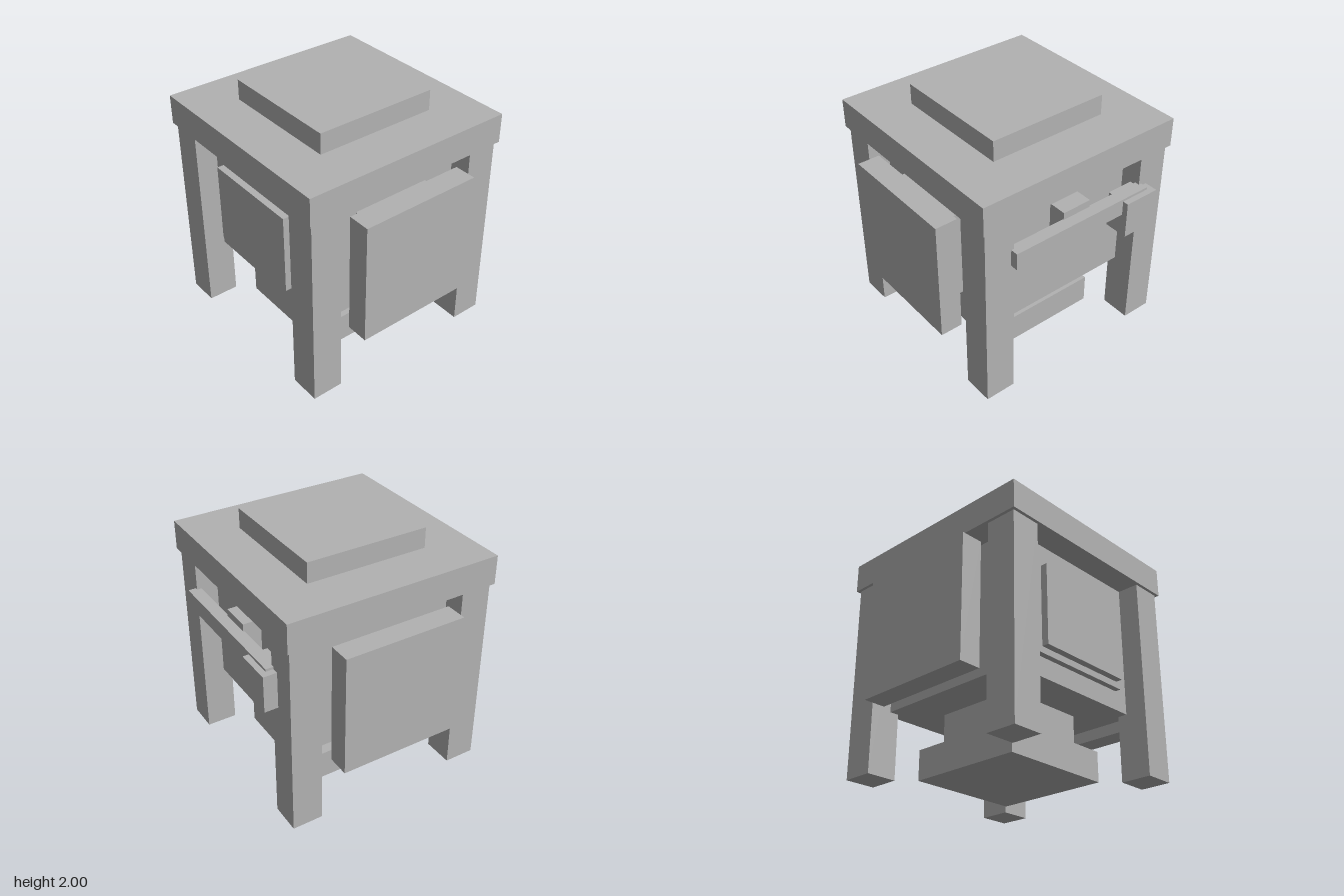
import * as THREE from 'three';

export function createModel() {
  const model = new THREE.Group();
  model.name = 'boxStove';
  const grey = new THREE.MeshStandardMaterial({ color: 0xb2b2b2 });
  grey.name = 'plainGrey';

  // Box given by its lower and upper limits on each axis
  const block = (name, [x0, x1], [y0, y1], [z0, z1]) => {
    const mesh = new THREE.Mesh(new THREE.BoxGeometry(x1 - x0, y1 - y0, z1 - z0), grey);
    mesh.name = name;
    mesh.position.set((x0 + x1) / 2, (y0 + y1) / 2, (z0 + z1) / 2);
    model.add(mesh);
  };

  const mid = 0.042; // the main frame sits slightly forward
  const span = (half, centre = 0) => [centre - half, centre + half];

  // Base, column, body and top
  block('base', span(0.475), [0, 0.24], span(0.475, mid));
  block('column', span(0.35), [0.24, 0.525], span(0.35, mid + 0.005));
  block('body', span(0.675), [0.525, 1.6], span(0.675, mid));
  block('topSlab', span(0.875), [1.6, 1.835], span(0.875, mid));
  block('topCap', span(0.5), [1.835, 2], span(0.5, mid));

  // Stepped front panel
  block('frontPanelFrame', span(0.475), [0.68, 1.43], [0.717, 0.765]);
  block('frontPanel', span(0.425), [0.73, 1.38], [0.765, 0.82]);

  for (const side of [-1, 1]) {
    const label = side > 0 ? 'left' : 'right';
    const mirror = (a, b) => (side > 0 ? [a, b] : [-b, -a]);
    // Corner legs
    block(label + 'FrontLeg', mirror(0.6, 0.85), [0, 1.6], span(0.125, mid + 0.725));
    block(label + 'BackLeg', mirror(0.6, 0.85), [0, 1.6], span(0.125, mid - 0.725));
    // Side panel on its spacer
    block(label + 'PanelMount', mirror(0.675, 0.82), [0.63, 1.38], span(0.33, mid));
    block(label + 'SidePanel', mirror(0.82, 1), [0.5, 1.5], span(0.5, mid));
  }

  // Back rail with its bracket and end block
  block('railBracket', span(0.125), [1.15, 1.41], [-0.78, -0.633]);
  block('backRail', span(0.625), [1.21, 1.35], [-0.87, -0.77]);
  block('railEndBlock', [-0.675, -0.378], [1.03, 1.33], [-0.918, -0.72]);

  return model;
}
